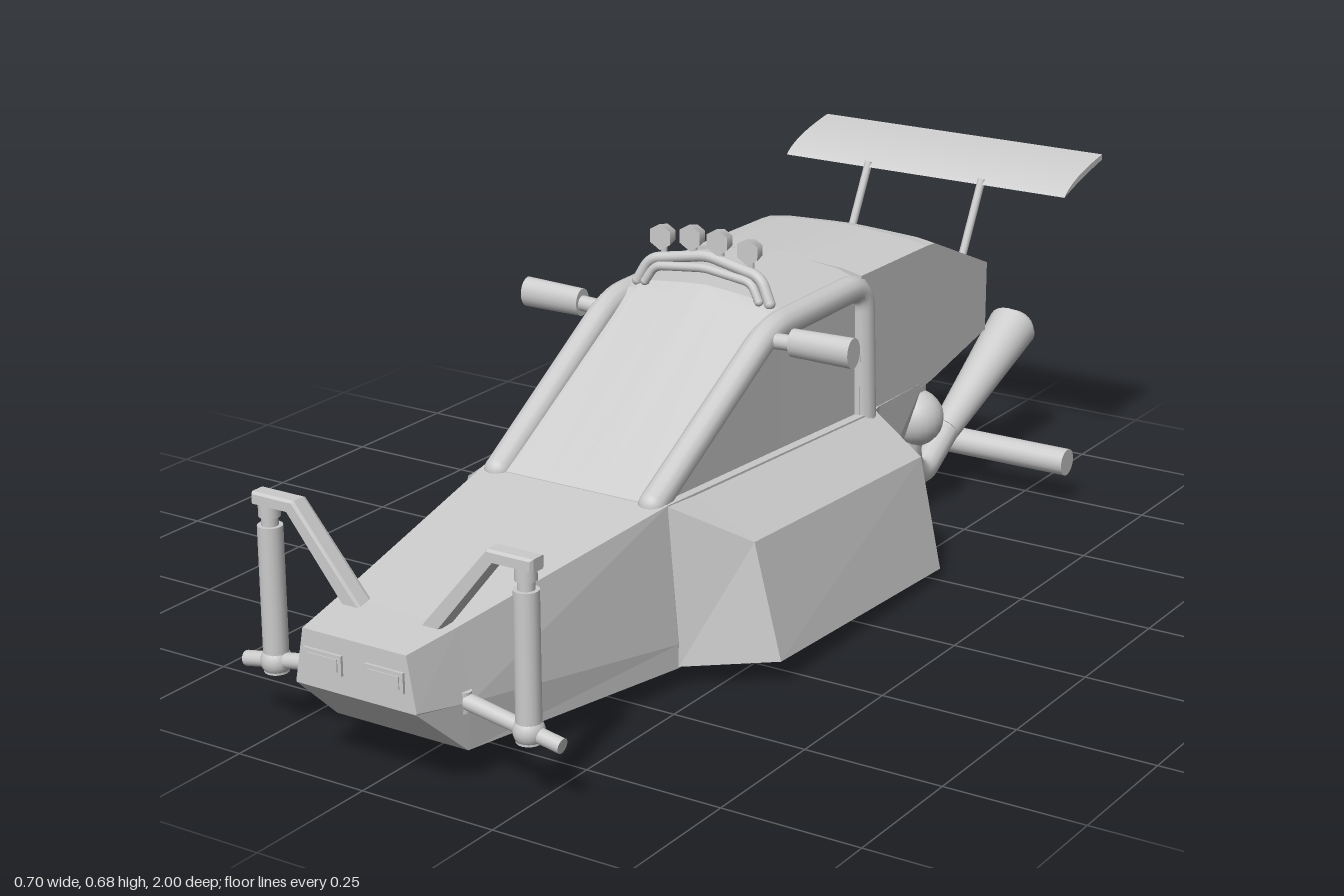
import * as THREE from 'three';

const flat = new THREE.MeshStandardMaterial({ color: 0xcccccc, flatShading: true, side: THREE.DoubleSide });
const smooth = new THREE.MeshStandardMaterial({ color: 0xcccccc });
const V = (p) => new THREE.Vector3(...p);

export function createModel() {
  const root = new THREE.Group();
  root.name = 'buggy';
  const car = new THREE.Group();
  car.name = 'vehicle';
  car.position.x = -0.006;
  root.add(car);

  const add = (name, geo, mat = smooth) => {
    const m = new THREE.Mesh(geo, mat);
    m.name = name;
    car.add(m);
    return m;
  };

  // Skin over closed rings of [x, y, z], ordered front to back, clockwise from the front
  const loft = (name, rings) => {
    const pos = [], n = rings[0].length;
    const tri = (...ps) => ps.forEach((p) => pos.push(...p));
    const centre = (r) => [0, 1, 2].map((k) => r.reduce((s, p) => s + p[k], 0) / n);
    const first = rings[0], last = rings[rings.length - 1];
    for (let j = 0; j < n; j++) {
      const k = (j + 1) % n;
      for (let i = 0; i < rings.length - 1; i++) {
        const a = rings[i], b = rings[i + 1];
        tri(a[j], a[k], b[j]);
        tri(a[k], b[k], b[j]);
      }
      tri(centre(first), first[k], first[j]);
      tri(centre(last), last[j], last[k]);
    }
    const g = new THREE.BufferGeometry();
    g.setAttribute('position', new THREE.Float32BufferAttribute(pos, 3));
    g.computeVertexNormals();
    return add(name, g, flat);
  };

  // Full ring from the right-hand half of a section, top to bottom
  const ring = (z, half) => [
    ...half.map(([x, y]) => [x, y, z]),
    ...half.slice().reverse().filter(([x]) => x > 0).map(([x, y]) => [-x, y, z]),
  ];

  // Round rod between two points, optionally tapered
  const rod = (name, a, b, r1, r2 = r1, sides = 16) => {
    const p = V(a), d = V(b).sub(p);
    const m = add(name, new THREE.CylinderGeometry(r2, r1, d.length(), sides));
    m.position.copy(p).addScaledVector(d, 0.5);
    m.quaternion.setFromUnitVectors(new THREE.Vector3(0, 1, 0), d.normalize());
    return m;
  };

  const ball = (name, p, r, scale = [1, 1, 1]) => {
    const m = add(name, new THREE.SphereGeometry(r, 20, 14));
    m.position.set(...p);
    m.scale.set(...scale);
  };

  // Tube through points, with tightly rounded corners
  const pipe = (name, pts, r, bend = 0.03) => {
    const path = new THREE.CurvePath(), v = pts.map(V);
    let from = v[0];
    for (let i = 1; i < v.length - 1; i++) {
      const a = v[i].clone().add(v[i - 1].clone().sub(v[i]).setLength(bend));
      const b = v[i].clone().add(v[i + 1].clone().sub(v[i]).setLength(bend));
      path.add(new THREE.LineCurve3(from, a));
      path.add(new THREE.QuadraticBezierCurve3(a, v[i], b));
      from = b;
    }
    path.add(new THREE.LineCurve3(from, v[v.length - 1]));
    add(name, new THREE.TubeGeometry(path, 60, r, 12));
    ball(name + 'End', pts[0], r);
    ball(name + 'End', pts[pts.length - 1], r);
  };

  // Lower hull from the nose to the sloped rear bulkhead
  const hull = ([z, top, mid, low]) => ring(z, [[0, top[1]], top, mid, low, [0, low[1]]]);
  loft('hull', [
    [1.0, [0.101, 0.25], [0.118, 0.157], [0.117, 0.155]],
    [0.89, [0.117, 0.262], [0.137, 0.14], [0.13, 0.057]],
    [0.41, [0.186, 0.322], [0.206, 0.08], [0.206, 0.037]],
    [-0.27, [0.186, 0.29], [0.18, 0.12], [0.17, 0.003]],
    [-0.3, [0.18, 0.29], [0.175, 0.12], [0.155, 0]],
    [-0.47, [0.178, 0.288], [0.176, 0.284], [0.174, 0.28]],
  ].map(hull));

  // Cabin with sloped windscreen and crowned roof
  const shell = ([z, top, crown, w, low]) =>
    ring(z, [[0, top + crown], [0.05, top + crown * 0.7], [w - 0.04, top], [w, top - crown], [w, low], [0, low]]);
  loft('cabin', [
    [0.42, 0.322, 0, 0.17, 0.31],
    [0.03, 0.55, 0.008, 0.168, 0.3],
    [0.01, 0.558, 0.012, 0.168, 0.3],
    [-0.24, 0.56, 0.012, 0.168, 0.28],
  ].map(shell));

  // Engine cover and tail
  loft('engineCover', [
    [-0.23, 0.562, 0.008, 0.178, 0.28],
    [-0.47, 0.56, 0.008, 0.178, 0.28],
    [-0.5, 0.556, 0.006, 0.178, 0.284],
    [-0.71, 0.466, 0.004, 0.178, 0.328],
  ].map(shell));

  for (const s of [1, -1]) {
    // Side pod
    const pod = [
      [[0.18, 0.32, 0.41], [0.187, 0.32, 0.41], [0.207, 0.04, 0.41], [0.19, 0.037, 0.41]],
      [[0.18, 0.318, 0.33], [0.295, 0.25, 0.315], [0.345, 0.045, 0.31], [0.19, 0.033, 0.33]],
      [[0.18, 0.29, -0.28], [0.29, 0.225, -0.26], [0.335, 0.018, -0.26], [0.15, 0.001, -0.29]],
    ].map((r) => {
      const m = r.map(([x, y, z]) => [s * x, y, z]);
      return s > 0 ? m : m.reverse();
    });
    loft('sidePod', pod);

    // Roll bar along the windscreen, roof and rear pillar
    pipe('rollBar', [
      [s * 0.157, 0.318, 0.41], [s * 0.163, 0.528, 0.06], [s * 0.165, 0.532, -0.25],
      [s * 0.17, 0.28, -0.255],
    ], 0.025, 0.045);

    // Mirror
    rod('mirrorArm', [s * 0.16, 0.513, 0.07], [s * 0.23, 0.516, 0.07], 0.014);
    rod('mirror', [s * 0.218, 0.517, 0.07], [s * 0.337, 0.518, 0.07], 0.025, 0.027, 20).scale.z = 0.8;

    // Headlight
    const lamp = add('headlight', new THREE.BoxGeometry(0.074, 0.034, 0.012), flat);
    lamp.position.set(s * 0.06, 0.204, 0.999);
    const lens = add('headlightLens', new THREE.BoxGeometry(0.06, 0.021, 0.016), flat);
    lens.position.set(s * 0.06, 0.204, 0.999);

    // Front suspension
    const x = s * 0.25, z = 0.893;
    rod('damper', [x, 0.103, z], [x, 0.355, z], 0.021);
    rod('damperShaft', [x, 0.35, z], [x, 0.385, z], 0.014);
    rod('damperCap', [x, 0.37, z], [x, 0.398, z], 0.018);
    ball('knuckle', [x, 0.122, z], 0.026);
    rod('lowerArm', [x, 0.122, z], [s * 0.13, 0.143, z], 0.013, 0.014);
    rod('lowerArmMount', [s * 0.122, 0.126, z], [s * 0.128, 0.161, z], 0.016, 0.012);
    rod('axleStub', [x, 0.122, z], [s * 0.312, 0.111, z], 0.013);
    const arm = new THREE.Shape([
      [0.27, 0.408], [0.19, 0.408], [0.062, 0.258], [0.092, 0.258], [0.2, 0.392], [0.27, 0.392],
    ].map(([px, py]) => new THREE.Vector2(s * px, py)));
    const upper = add('upperArm', new THREE.ExtrudeGeometry(arm, {
      depth: 0.024, bevelEnabled: true, bevelSize: 0.003, bevelThickness: 0.006, bevelSegments: 1,
    }), flat);
    upper.position.z = z - 0.012;

    // Engine bank, turbo and exhaust
    rod('engineBank', [s * 0.075, 0.15, -0.535], [s * 0.075, 0.32, -0.535], 0.062, 0.066, 20);
    ball('engineBankEnd', [s * 0.075, 0.15, -0.535], 0.062, [1, 0.5, 1]);
    ball('turbo', [s * 0.125, 0.19, -0.535], 0.055);
    pipe('exhaustHeader', [
      [s * 0.12, 0.17, -0.52], [s * 0.115, 0.1, -0.525], [s * 0.11, 0.055, -0.585], [s * 0.107, 0.12, -0.7],
    ], 0.027, 0.035);
    rod('exhaustCone', [s * 0.107, 0.115, -0.69], [s * 0.107, 0.255, -0.965], 0.028, 0.049, 24);
    ball('exhaustTip', [s * 0.107, 0.252, -0.96], 0.047, [1, 0.8, 0.8]);

    // Wing strut
    rod('wingStrut', [s * 0.125, 0.45, -0.7], [s * 0.125, 0.602, -0.78], 0.008, 0.008, 8);

    // Roof lamps
    for (const [lx, ly] of [[0.09, 0.643], [0.028, 0.651]]) {
      rod('roofLamp', [s * lx, ly, -0.012], [s * lx, ly, 0.014], 0.018, 0.024, 6);
      rod('roofLampStem', [s * lx, 0.605, 0], [s * lx, ly - 0.01, 0], 0.006, 0.006, 8);
    }
  }

  // Engine core and rear bumper bar
  const core = add('engineBlock', new THREE.BoxGeometry(0.16, 0.17, 0.12), flat);
  core.position.set(0, 0.23, -0.5);
  rod('rearBar', [-0.327, 0.085, -0.727], [0.355, 0.085, -0.727], 0.026, 0.026, 20);

  // Roof lamp bar and the visor below it
  pipe('lampBar', [
    [-0.137, 0.558, 0.015], [-0.115, 0.6, 0.008], [0, 0.62, 0], [0.115, 0.6, 0.008], [0.137, 0.558, 0.015],
  ], 0.01, 0.02);
  pipe('visor', [
    [-0.118, 0.56, 0.02], [-0.1, 0.59, 0.015], [0, 0.6, 0.01], [0.1, 0.59, 0.015], [0.118, 0.56, 0.02],
  ], 0.008, 0.015);

  // Rear wing, a thin curved section swept across
  const foil = new THREE.Shape();
  foil.moveTo(-0.77, 0.594);
  foil.quadraticCurveTo(-0.8, 0.625, -0.927, 0.645);
  foil.lineTo(-0.927, 0.634);
  foil.quadraticCurveTo(-0.84, 0.617, -0.77, 0.594);
  const wing = add('rearWing', new THREE.ExtrudeGeometry(foil, { depth: 0.614, bevelEnabled: false, curveSegments: 10 }));
  wing.geometry.rotateY(-Math.PI / 2).translate(0.307, 0, 0);

  return root;
}
